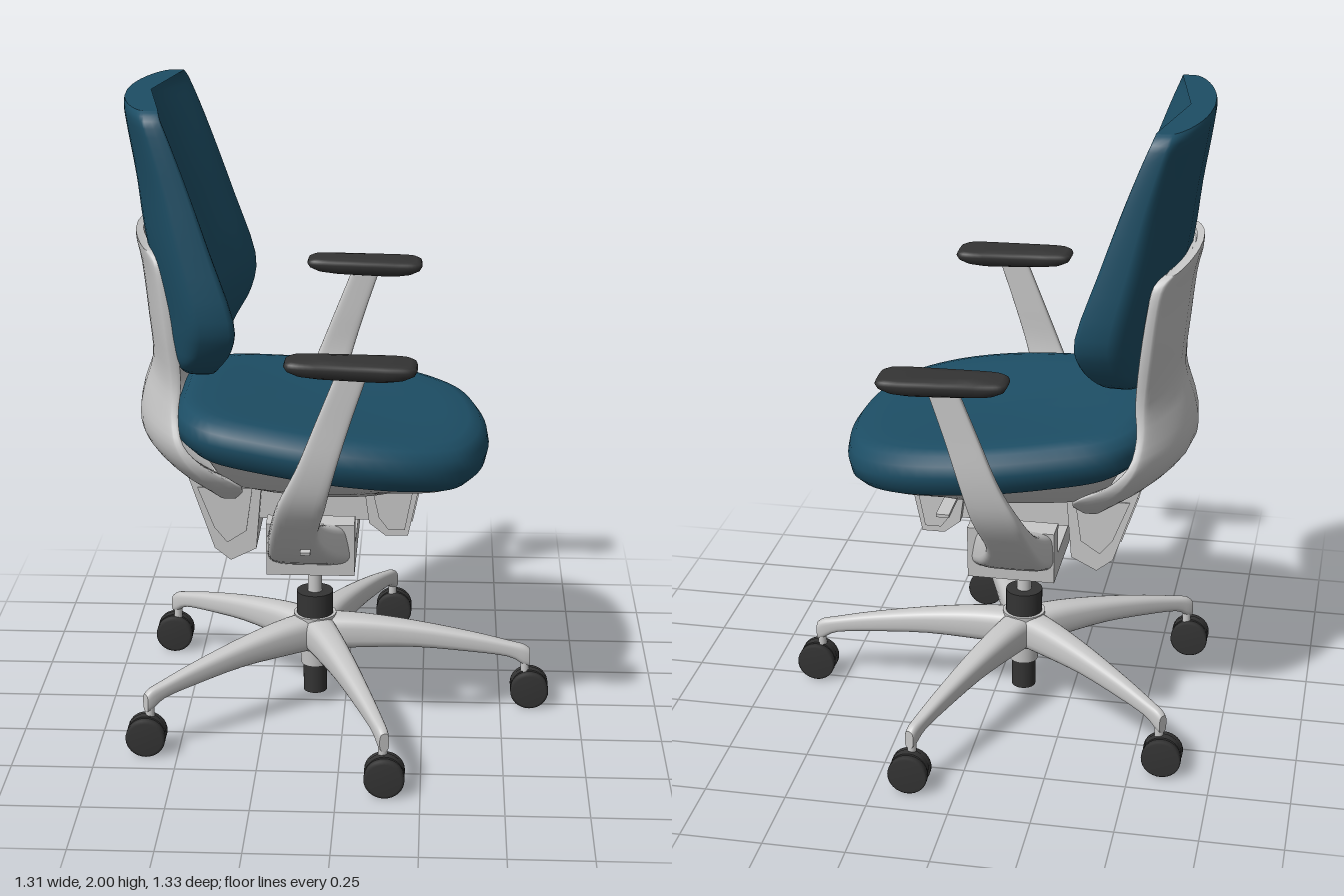
import * as THREE from 'three';

const material = (name, color) => Object.assign(new THREE.MeshStandardMaterial({ color }), { name });
const teal = material('teal fabric', 0x1d4e65);
const grey = material('light grey shell', 0xc8c8c8);
const black = material('black plastic', 0x343434);

const V = (x, y, z) => new THREE.Vector3(x, y, z);
const spow = (v, p) => Math.sign(v) * Math.abs(v) ** p;

function add(parent, name, geometry, mat, x = 0, y = 0, z = 0) {
  const m = new THREE.Mesh(geometry, mat);
  m.name = name;
  m.position.set(x, y, z);
  parent.add(m);
  return m;
}

// Skin over equal-length closed rings, capped at both ends, always facing outwards
function loft(rings) {
  const n = rings[0].length, pts = rings.flat(), idx = [];
  for (let r = 0; r < rings.length - 1; r++)
    for (let i = 0; i < n; i++) {
      const a = r * n + i, b = r * n + (i + 1) % n;
      idx.push(a, b, b + n, a, b + n, a + n);
    }
  for (const [ring, first] of [[rings[0], true], [rings.at(-1), false]]) {
    const c = ring.reduce((s, p) => s.add(p), V(0, 0, 0)).divideScalar(n);
    const o = pts.length;
    pts.push(c, ...ring);
    for (let i = 0; i < n; i++) {
      const a = o + 1 + i, b = o + 1 + (i + 1) % n;
      idx.push(o, first ? b : a, first ? a : b);
    }
  }
  let volume = 0;
  const cross = V(0, 0, 0);
  for (let i = 0; i < idx.length; i += 3)
    volume += pts[idx[i]].dot(cross.crossVectors(pts[idx[i + 1]], pts[idx[i + 2]]));
  if (volume < 0) idx.reverse();
  const g = new THREE.BufferGeometry().setFromPoints(pts);
  g.setIndex(idx);
  g.computeVertexNormals();
  return g;
}

// Smooth in-between rows of a small profile table
function refine(rows, steps) {
  const out = [];
  for (let i = 0; i < rows.length - 1; i++)
    for (let k = 0; k < steps; k++) {
      const p0 = rows[Math.max(i - 1, 0)], p1 = rows[i], p2 = rows[i + 1], p3 = rows[Math.min(i + 2, rows.length - 1)];
      const t = k / steps;
      out.push(p1.map((v, j) => v + 0.5 * t * (p2[j] - p0[j] + t * (2 * p0[j] - 5 * v + 4 * p2[j] - p3[j]
        + t * (3 * (v - p2[j]) + p3[j] - p0[j])))));
    }
  return [...out, rows.at(-1)];
}

// Curved panel; rows: y, centre back x, centre front x, edge back x, edge front x, half width
function curvedPanel(rows, zc, droop) {
  return loft(refine(rows, 3).map(([y, cb, cf, eb, ef, w]) => Array.from({ length: 56 }, (_, i) => {
    const a = i / 56 * Math.PI * 2;
    const t = spow(Math.cos(a), 0.6), s = spow(Math.sin(a), 0.4);
    const back = cb + (eb - cb) * t * t, front = cf + (ef - cf) * t * t;
    return V((back + front) / 2 + (front - back) / 2 * s, y - droop * t * t, zc + w * t);
  })));
}

const polygon = pts => new THREE.Shape(pts.map(p => new THREE.Vector2(...p)));
const slab = (pts, depth) => new THREE.ExtrudeGeometry(polygon(pts), { depth, bevelEnabled: false }).translate(0, 0, -depth / 2);

// Plan of the seat
const half = [[0.42, 0.2], [0.36, 0.33], [0.22, 0.42], [0, 0.455], [-0.25, 0.42], [-0.42, 0.36], [-0.5, 0.24]];
const plan = new THREE.CatmullRomCurve3([
  V(0.447, 0, 0), ...half.map(([x, z]) => V(x, 0, z)), V(-0.515, 0, 0),
  ...half.slice().reverse().map(([x, z]) => V(x, 0, -z)),
], true).getPoints(72).slice(0, 72);
const seatMid = x => 0.968 - 0.105 * x - 0.1 * Math.max(0, x) ** 2;
const seatRing = (s, off) => plan.map(p => V(p.x * s, seatMid(p.x * s) + off, p.z * s));

function addSeat(g) {
  const pad = [[0.1, -0.08], [0.8, -0.08], [0.92, -0.07], [0.98, -0.04], [1, 0], [0.985, 0.035], [0.94, 0.06],
    [0.86, 0.069], [0.7, 0.066], [0.45, 0.058], [0.2, 0.052], [0.03, 0.05]];
  add(g, 'seatCushion', loft(pad.map(p => seatRing(...p))), teal);
  const flat = (s, y) => plan.map(p => V(p.x * s - 0.02, y, p.z * s));
  add(g, 'seatPan', loft([seatRing(0.91, -0.06), seatRing(0.85, -0.088), flat(0.72, 0.838), flat(0.54, 0.8)]), grey);
}

function addBack(g) {
  add(g, 'backCushion', curvedPanel([
    [1.166, -0.47, -0.44, -0.46, -0.42, 0.1], [1.18, -0.50, -0.42, -0.475, -0.37, 0.21],
    [1.23, -0.53, -0.41, -0.48, -0.325, 0.315], [1.30, -0.55, -0.395, -0.465, -0.275, 0.375],
    [1.40, -0.56, -0.40, -0.46, -0.262, 0.415], [1.60, -0.60, -0.475, -0.50, -0.332, 0.407],
    [1.77, -0.62, -0.54, -0.53, -0.395, 0.394], [1.90, -0.64, -0.588, -0.56, -0.447, 0.383],
    [1.975, -0.65, -0.616, -0.58, -0.48, 0.37], [2.0, -0.648, -0.626, -0.58, -0.493, 0.338],
  ], 0.02, 0), teal);
  add(g, 'backShell', curvedPanel([
    [0.82, -0.44, -0.40, -0.38, -0.30, 0.26], [0.88, -0.55, -0.50, -0.43, -0.25, 0.33],
    [0.95, -0.62, -0.58, -0.47, -0.37, 0.365], [1.02, -0.635, -0.60, -0.50, -0.45, 0.36],
    [1.10, -0.62, -0.59, -0.515, -0.47, 0.32], [1.20, -0.59, -0.56, -0.515, -0.46, 0.298],
    [1.35, -0.60, -0.565, -0.53, -0.47, 0.31], [1.50, -0.615, -0.58, -0.545, -0.49, 0.315],
    [1.57, -0.63, -0.60, -0.56, -0.505, 0.305], [1.595, -0.63, -0.61, -0.58, -0.54, 0.27],
  ], 0, 0.025), grey);
}

function addMechanism(g) {
  const rear = [[-0.48, 0.83], [-0.4, 0.59], [-0.35, 0.55], [-0.27, 0.59], [-0.25, 0.83]];
  const front = [[0.06, 0.83], [0.08, 0.68], [0.13, 0.64], [0.2, 0.64], [0.24, 0.83]];
  add(g, 'rearHousing', slab(rear, 0.3), grey);
  add(g, 'frontHousing', slab(front, 0.3), grey);
  // Raised panels on the sides and ends of the housings
  add(g, 'rearSidePanel', slab([[-0.45, 0.79], [-0.4, 0.66], [-0.36, 0.61], [-0.3, 0.65], [-0.28, 0.79]], 0.31), grey);
  add(g, 'frontSidePanel', slab([[0.09, 0.79], [0.11, 0.7], [0.14, 0.66], [0.19, 0.66], [0.215, 0.79]], 0.31), grey);
  add(g, 'frontPanel', new THREE.BoxGeometry(0.008, 0.11, 0.24), grey, 0.221, 0.73, 0).rotation.z = -0.207;
  add(g, 'rearPanel', new THREE.BoxGeometry(0.008, 0.16, 0.23), grey, -0.443, 0.715, 0).rotation.z = 0.322;
  add(g, 'centreBeam', new THREE.BoxGeometry(0.4, 0.15, 0.24), grey, -0.1, 0.755, 0);
  // U-shaped cradle joining both arms
  const cradle = slab([[-0.24, 0.54], [0.24, 0.54], [0.25, 0.71], [0.17, 0.71], [0.17, 0.61],
    [-0.17, 0.61], [-0.17, 0.71], [-0.25, 0.71]], 0.27).rotateY(Math.PI / 2);
  add(g, 'armCradle', cradle, grey, -0.097);
  add(g, 'heightLever', new THREE.BoxGeometry(0.04, 0.01, 0.24), grey, 0.08, 0.82, -0.29);
  add(g, 'tiltLever', new THREE.BoxGeometry(0.03, 0.01, 0.16), grey, -0.1, 0.71, 0.37).rotation.x = 0.2;
}

function addArm(g, side) {
  const arm = new THREE.Group();
  arm.name = side > 0 ? 'leftArm' : 'rightArm';
  g.add(arm);
  // Rows: y, z, rear x, front x, thickness
  const rows = refine([
    [0.63, 0.205, -0.232, 0.038, 0.13], [0.685, 0.33, -0.22, -0.02, 0.11], [0.765, 0.44, -0.205, -0.06, 0.07],
    [0.88, 0.535, -0.175, -0.035, 0.042], [1.0, 0.566, -0.12, -0.005, 0.033], [1.15, 0.568, -0.06, 0.04, 0.03],
    [1.3, 0.568, 0.0, 0.09, 0.028],
  ], 4);
  add(arm, 'armSupport', loft(rows.map(([y, z, x0, x1, th], i) => {
    const p = rows[Math.max(i - 1, 0)], q = rows[Math.min(i + 1, rows.length - 1)];
    const len = Math.hypot(q[0] - p[0], q[1] - p[1]), dy = (q[0] - p[0]) / len, dz = (q[1] - p[1]) / len;
    return Array.from({ length: 32 }, (_, k) => {
      const a = k / 32 * Math.PI * 2, s = spow(Math.sin(a), 0.45) * th / 2;
      return V((x0 + x1) / 2 + spow(Math.cos(a), 0.45) * (x1 - x0) / 2, y - dz * s, side * (z + dy * s));
    });
  })), grey);
  const padRing = (s, y) => Array.from({ length: 40 }, (_, k) => {
    const a = k / 40 * Math.PI * 2, u = spow(Math.cos(a), 0.35), v = spow(Math.sin(a), 0.35);
    return V(0.04 + 0.19 * s * u, y - 0.004 * u, side * (0.572 + (0.062 + 0.006 * u) * s * v));
  });
  add(arm, 'armPad', loft([[0.4, 1.284], [0.6, 1.286], [0.82, 1.294], [0.96, 1.307], [1, 1.32], [0.98, 1.33],
    [0.9, 1.337], [0.5, 1.34]].map(p => padRing(...p))), black);
}

function addBase(g) {
  const base = new THREE.Group();
  base.name = 'base';
  base.position.x = -0.097;
  g.add(base);
  const tube = (name, r0, r1, y0, y1, mat) =>
    add(base, name, new THREE.CylinderGeometry(r1, r0, y1 - y0, 32), mat, 0, (y0 + y1) / 2, 0);
  tube('column', 0.023, 0.023, 0.38, 0.6, grey);
  tube('collar', 0.058, 0.058, 0.31, 0.39, black);
  tube('hub', 0.06, 0.068, 0.2, 0.315, grey);
  tube('hubSleeve', 0.045, 0.05, 0.14, 0.21, grey);
  tube('columnEnd', 0.038, 0.038, 0.045, 0.14, black);

  for (const [x, z] of [[0.69, 0], [0.24, 0.625], [0.24, -0.625], [-0.5, 0.39], [-0.5, -0.39]]) {
    const angle = Math.atan2(z, x), k = Math.hypot(x, z) / 0.69;
    // Rows: distance, top, bottom, half width
    const rows = refine([[0.02, 0.312, 0.195, 0.055], [0.15, 0.307, 0.2, 0.046], [0.32, 0.285, 0.203, 0.036],
      [0.5, 0.252, 0.188, 0.026], [0.62, 0.224, 0.172, 0.02], [0.67, 0.212, 0.145, 0.018], [0.69, 0.198, 0.14, 0.015]], 3);
    const leg = loft(rows.map(([r, top, bottom, w]) => Array.from({ length: 24 }, (_, i) => {
      const a = i / 24 * Math.PI * 2;
      return V(r * k, (top + bottom) / 2 + spow(Math.sin(a), 0.7) * (top - bottom) / 2, spow(Math.cos(a), 0.7) * w);
    })));
    add(base, 'leg', leg, grey).rotation.y = -angle;

    const caster = new THREE.Group();
    caster.name = 'caster';
    caster.position.set(x, 0, z);
    base.add(caster);
    const wheel = new THREE.LatheGeometry([[0, -0.014], [0.056, -0.014], [0.061, -0.009], [0.061, 0.009], [0.052, 0.014],
      [0, 0.014]].map(p => new THREE.Vector2(...p)), 32).rotateX(Math.PI / 2);
    for (const s of [-1, 1]) add(caster, 'wheel', wheel, black, 0, 0.064, s * 0.025);
    add(caster, 'casterHood', new THREE.CylinderGeometry(0.057, 0.057, 0.026, 24).rotateX(Math.PI / 2), black, 0, 0.072, 0);
    add(caster, 'casterStem', new THREE.CylinderGeometry(0.014, 0.014, 0.06, 16), grey,
      -0.015 * Math.cos(angle), 0.15, -0.015 * Math.sin(angle));
  }
}

export function createModel() {
  const g = new THREE.Group();
  g.name = 'officeChair';
  addSeat(g);
  addBack(g);
  addMechanism(g);
  for (const side of [1, -1]) addArm(g, side);
  addBase(g);
  return g;
}
